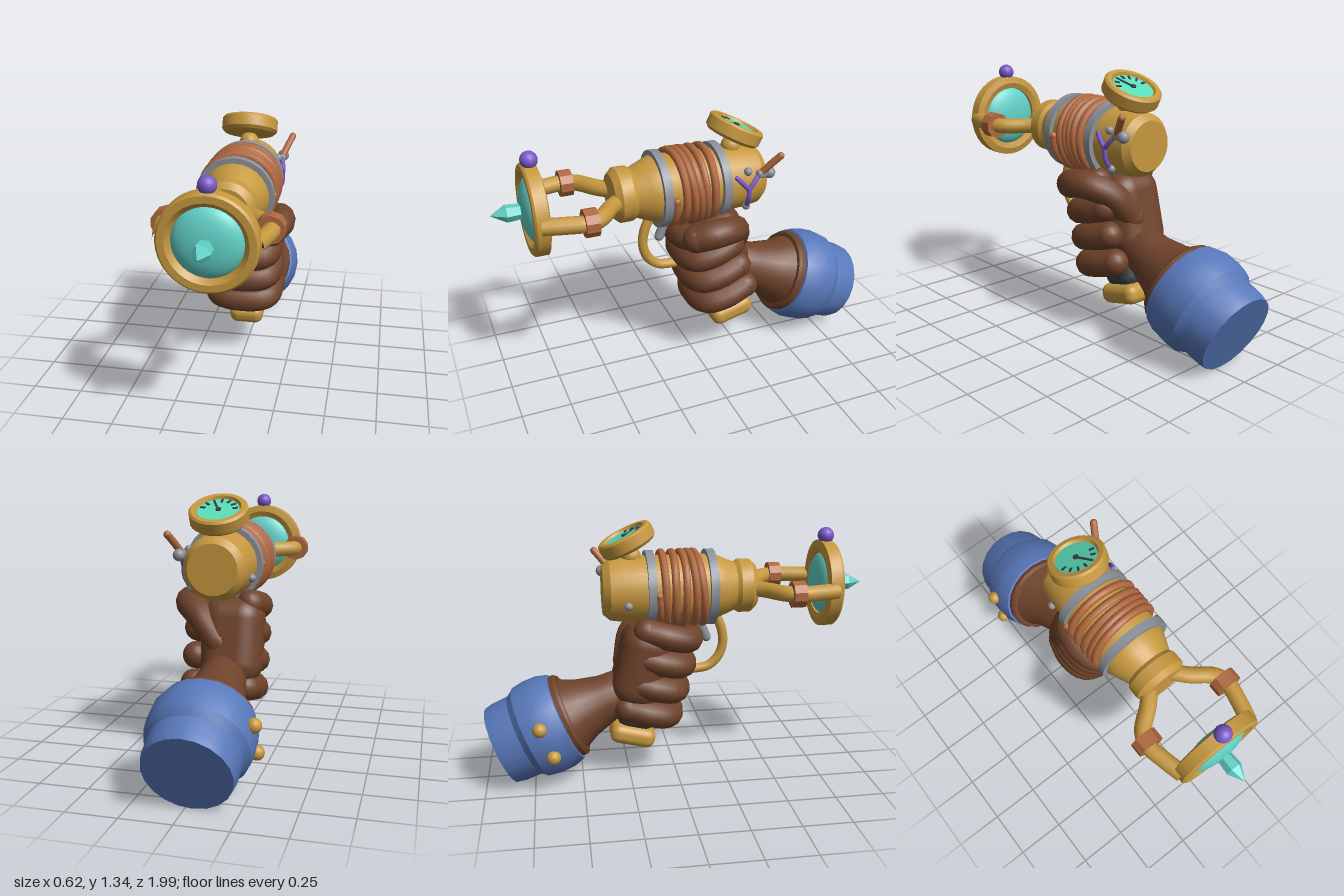
import * as THREE from 'three';
import { toCreasedNormals } from 'three/addons/utils/BufferGeometryUtils.js';
import { RoundedBoxGeometry } from 'three/addons/geometries/RoundedBoxGeometry.js';

const V = (x, y, z) => new THREE.Vector3(x, y, z);

function material(name, color) {
  const m = new THREE.MeshStandardMaterial({ color });
  m.name = name;
  return m;
}

export function createModel() {
  const gold = material('brass', 0xc6983f);
  const brown = material('brown leather', 0x6f432b);
  const blue = material('blue cloth', 0x5878ba);
  const teal = material('teal glass', 0x62d2c8);
  const mint = material('dial mint', 0x58dcb8);
  const grey = material('steel', 0x8d9299);
  const dark = material('dark grip', 0x3b4147);
  const purple = material('purple', 0x7a58c8);
  const copper = material('copper', 0xb0683f);

  const model = new THREE.Group();
  model.name = 'gauntletWithRayDevice';

  function add(name, geo, mat, pos = [0, 0, 0], parent = model) {
    const mesh = new THREE.Mesh(geo, mat);
    mesh.name = name;
    mesh.position.set(...pos);
    parent.add(mesh);
    return mesh;
  }
  const ball = (name, r, mat, pos, parent) =>
    add(name, new THREE.SphereGeometry(r, 16, 12), mat, pos, parent);

  // Turned part about y: [radius, height] pairs, rising along the outside
  const turned = (pts, sides = 28, crease = 0.5) =>
    toCreasedNormals(new THREE.LatheGeometry(pts.map(p => new THREE.Vector2(...p)), sides), crease);
  const turnedZ = (pts, sides, crease) => turned(pts, sides, crease).rotateX(Math.PI / 2);

  // Round tube through points, with optional ball ends
  function tube(name, pts, r, mat, { caps = false, parent = model, segs = 24, sides = 12 } = {}) {
    const curve = new THREE.CatmullRomCurve3(pts);
    add(name, new THREE.TubeGeometry(curve, segs, r, sides), mat, [0, 0, 0], parent);
    if (caps) for (const p of [pts[0], pts[pts.length - 1]])
      ball(name + 'End', r, mat, p.toArray(), parent);
  }

  // Barrel
  add('barrel', turnedZ([[0, -0.37], [0.125, -0.37], [0.155, -0.335], [0.165, -0.27], [0.17, -0.15],
    [0.17, 0.2], [0.15, 0.25], [0.125, 0.31], [0.138, 0.33], [0.138, 0.39], [0.11, 0.42], [0, 0.42]]),
    gold, [0, 1, 0]);
  for (const z of [-0.13, 0.18])
    add('barrelBand', turnedZ([[0.16, -0.021], [0.195, -0.021], [0.195, 0.021], [0.16, 0.021]]), grey, [0, 1, z]);

  // Copper winding
  const wire = [];
  const turns = 5.5, steps = 110;
  for (let i = 0; i <= steps; i++) {
    const t = i / steps, a = t * turns * Math.PI * 2;
    wire.push(V(0.183 * Math.cos(a), 1 - 0.183 * Math.sin(a),
      0.14 - 0.235 * t + 0.012 * Math.sin(a * 0.83)));
  }
  tube('copperWinding', wire, 0.02, copper, { caps: true, segs: 200, sides: 8 });

  // Prongs with copper clamps
  for (const s of [1, -1]) {
    tube('prong', [V(0.06 * s, 1, 0.38), V(0.12 * s, 1, 0.45), V(0.22 * s, 1, 0.535),
      V(0.242 * s, 1, 0.6), V(0.225 * s, 1, 0.7), V(0.2 * s, 1, 0.8)], 0.041, gold);
    add('prongClamp', turnedZ([[0.035, -0.032], [0.068, -0.032], [0.068, 0.032], [0.035, 0.032]], 10),
      copper, [0.236 * s, 1, 0.585]);
  }

  // Lens ring, lens, crystal and bead
  add('lensRing', turnedZ([[0.16, -0.03], [0.19, -0.04], [0.225, -0.03], [0.225, 0.03],
    [0.215, 0.04], [0.183, 0.04], [0.16, 0.015], [0.16, -0.03]], 36), gold, [0, 1, 0.795]);
  add('lens', new THREE.SphereGeometry(0.164, 32, 16), teal, [0, 1, 0.795]).scale.z = 0.4;
  add('crystal', turnedZ([[0, -0.1], [0.035, -0.1], [0.043, 0], [0, 0.075]], 6, 0.1),
    teal, [0, 1, 0.925]).rotation.z = Math.PI / 2;
  ball('topBead', 0.042, purple, [0, 1.25, 0.795]);

  // Dial on top of the barrel
  ball('dialMount', 0.05, gold, [0, 1.17, -0.22]);
  const dial = new THREE.Group();
  dial.name = 'dial';
  dial.position.set(0, 1.25, -0.24);
  dial.rotation.x = -0.46;
  model.add(dial);
  add('dialCase', turned([[0, -0.04], [0.13, -0.04], [0.145, -0.025], [0.145, 0.03], [0.135, 0.04],
    [0.112, 0.04], [0.103, 0.022], [0, 0.022]]), gold, [0, 0, 0], dial);
  add('dialFace', new THREE.CylinderGeometry(0.103, 0.103, 0.006, 28), mint, [0, 0.024, 0], dial);
  const mark = (name, a, mid, length, width) => {
    add(name, new THREE.BoxGeometry(length, 0.005, width), dark,
      [Math.cos(a) * mid, 0.029, Math.sin(a) * mid], dial).rotation.y = -a;
  };
  for (let i = 0; i < 7; i++) mark('dialTick', 0.2 + i * 0.456, 0.082, 0.026, 0.011);
  mark('dialNeedle', 1.1, 0.033, 0.075, 0.011);
  add('dialHub', new THREE.CylinderGeometry(0.014, 0.014, 0.009, 12), dark, [0, 0.03, 0], dial);

  // Side lever
  add('leverBase', new RoundedBoxGeometry(0.04, 0.04, 0.09, 2, 0.015), grey, [0.165, 1.065, -0.335]);
  ball('leverPivot', 0.03, grey, [0.165, 1.065, -0.36]);
  tube('leverHandle', [V(0.17, 1.08, -0.325), V(0.19, 1.125, -0.36), V(0.21, 1.165, -0.395)], 0.018,
    copper, { caps: true, segs: 4 });

  // Forked spark between two studs, and stud on the other side
  for (const p of [[0.15, 1.08, -0.25], [0.14, 0.89, -0.25], [-0.165, 0.95, -0.25]])
    ball('stud', 0.021, grey, p);
  const fork = V(0.178, 0.995, -0.245);
  for (const end of [V(0.165, 1.06, -0.185), V(0.165, 1.06, -0.3), V(0.15, 0.9, -0.248)])
    tube('spark', [fork, fork.clone().lerp(end, 0.5).setX(0.176), end], 0.012, purple, { caps: true, segs: 6, sides: 8 });

  // Trigger and guard
  tube('triggerGuard', [V(0, 0.86, 0.21), V(0, 0.79, 0.245), V(0, 0.7, 0.26), V(0, 0.62, 0.235),
    V(0, 0.57, 0.18), V(0, 0.555, 0.08)], 0.025, gold);
  tube('trigger', [V(0, 0.86, 0.125), V(0, 0.79, 0.145), V(0, 0.73, 0.17)], 0.025, grey, { caps: true, segs: 8 });

  // Hand and grip share one tilted frame
  const hand = new THREE.Group();
  hand.name = 'hand';
  hand.position.set(0, 0.6, -0.13);
  hand.rotation.x = 0.25;
  model.add(hand);
  add('grip', new RoundedBoxGeometry(0.145, 0.68, 0.2, 4, 0.06), dark, [0, -0.03, 0], hand);
  add('pommel', new RoundedBoxGeometry(0.185, 0.105, 0.24, 4, 0.045), gold, [0, -0.4, 0], hand);
  add('palm', new RoundedBoxGeometry(0.31, 0.44, 0.26, 6, 0.11), brown, [-0.055, 0.005, -0.055], hand);
  for (let i = 0; i < 4; i++) {
    const y = 0.195 - i * 0.139;
    tube('finger', [V(-0.14, y, -0.08), V(-0.16, y, 0.03), V(-0.125, y, 0.135), V(0, y, 0.163),
      V(0.115, y, 0.135), V(0.142, y, 0.04), V(0.125, y + 0.005, -0.06 - i * 0.008)], 0.069, brown,
      { caps: true, parent: hand, segs: 28 });
  }
  tube('thumb', [V(0.0, 0.62, -0.25), V(0.1, 0.74, -0.215), V(0.18, 0.79, -0.14),
    V(0.197, 0.79, -0.05), V(0.16, 0.765, 0.03)], 0.073, brown, { caps: true });
  ball('thumbWeb', 0.1, brown, [-0.02, 0.72, -0.15]);

  // Forearm glove and sleeve along a slanting axis
  const arm = new THREE.Group();
  arm.name = 'arm';
  arm.position.set(-0.035, 0.345, -0.565);
  arm.quaternion.setFromUnitVectors(V(0, 1, 0), V(0, -0.39, -0.92).normalize());
  model.add(arm);
  add('gloveCuff', turned([[0, -0.42], [0.08, -0.4], [0.115, -0.33], [0.125, -0.22], [0.158, -0.1],
    [0.195, -0.025], [0.215, -0.025], [0.226, -0.01], [0.226, 0.02], [0.2, 0.04]], 20), brown, [0, 0, 0], arm);
  add('sleeve', turned([[0.2, 0.03], [0.215, 0.01], [0.238, 0.015], [0.257, 0.075], [0.259, 0.15],
    [0.25, 0.21], [0.222, 0.245], [0.218, 0.34], [0.21, 0.378], [0, 0.378]], 20), blue, [0, 0, 0], arm);
  for (const dy of [0.075, -0.075])
    ball('sleeveButton', 0.036, gold, [-0.285, 0.297 + dy, -0.68 - dy * 0.42]);

  return model;
}
